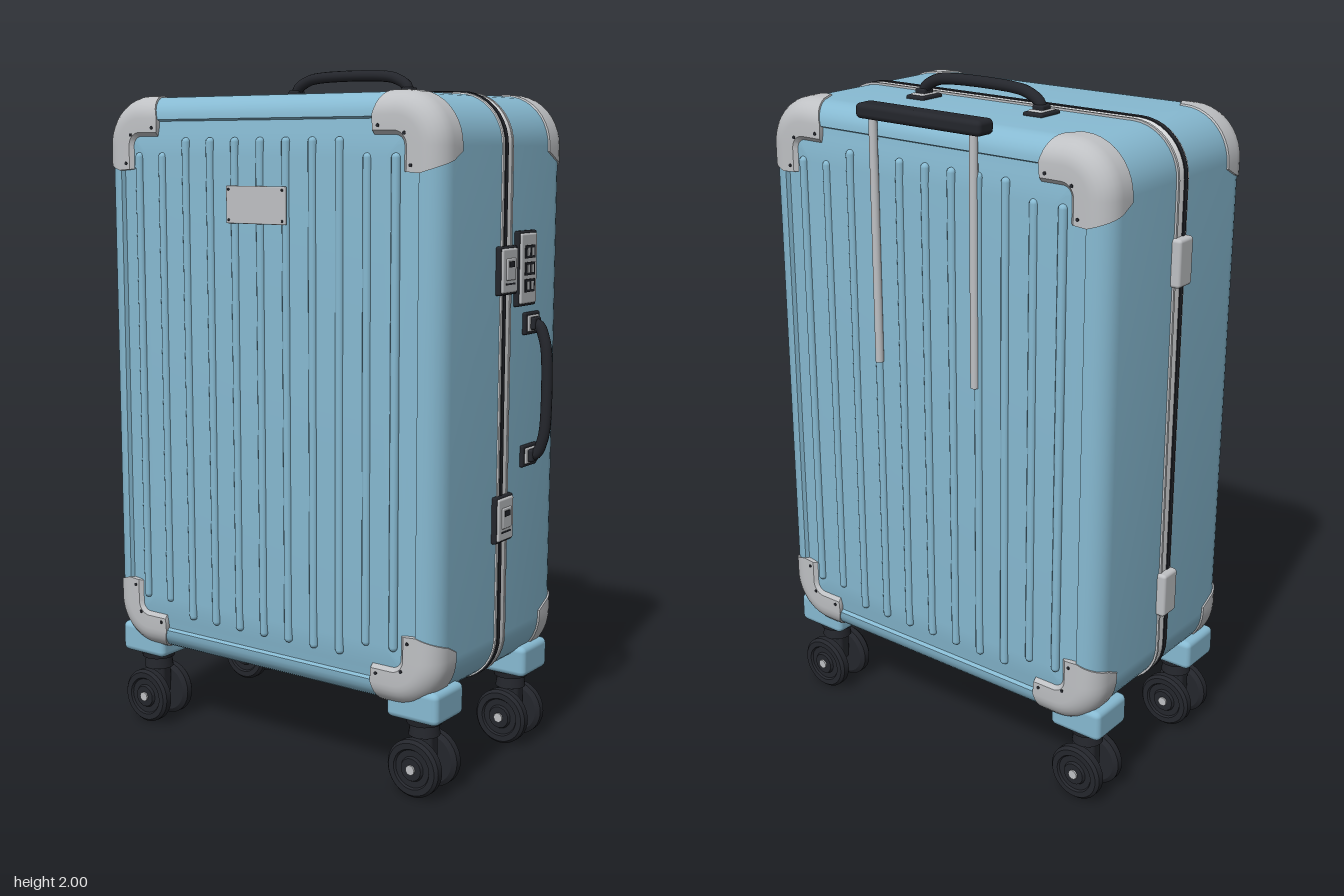
import * as THREE from 'three';
import { toCreasedNormals } from 'three/addons/utils/BufferGeometryUtils.js';
import { RoundedBoxGeometry } from 'three/addons/geometries/RoundedBoxGeometry.js';

const mat = (name, color) => new THREE.MeshStandardMaterial({ name, color });
const blue = mat('shell blue', 0x87bad2);
const silver = mat('silver', 0xbfc1c4);
const white = mat('pale frame', 0xe4e6e8);
const black = mat('black', 0x24262c);

// Case: centre, half width, half height, corner radius, edge rounding, seam and face depths
const CX = -0.0275, CY = 1.095, W = 0.584, H = 0.828, R = 0.14, B = 0.065, SEAM = 0.019;
const FACE = { 1: 0.347, [-1]: 0.334 };

function add(parent, name, geometry, material, x = 0, y = 0, z = 0) {
  const mesh = new THREE.Mesh(geometry, material);
  mesh.name = name;
  mesh.position.set(x, y, z);
  parent.add(mesh);
  return mesh;
}

const box = (w, h, d, r = 0.006) => new RoundedBoxGeometry(w, h, d, 2, r);

// Skin between equally long rows of [x, y, z] points
function loft(rows, closed, flip, crease = 0.6) {
  const n = rows[0].length, index = [];
  for (let i = 0; i < rows.length - 1; i++) {
    for (let j = 0; j < (closed ? n : n - 1); j++) {
      const k = (j + 1) % n, a = i * n + j, b = i * n + k, c = b + n, d = a + n;
      if (flip) index.push(a, c, b, a, d, c);
      else index.push(a, b, c, a, c, d);
    }
  }
  const g = new THREE.BufferGeometry();
  g.setAttribute('position', new THREE.Float32BufferAttribute(rows.flat(2), 3));
  g.setIndex(index);
  return toCreasedNormals(g, crease);
}

// Arc around the +x +y corner at a given inset from the outline
function cornerArc(inset, steps = 10) {
  const c = Math.max(R, inset + 0.001), r = c - inset, pts = [];
  for (let i = 0; i <= steps; i++) {
    const a = (i / steps) * Math.PI / 2;
    pts.push([W - c + r * Math.cos(a), H - c + r * Math.sin(a)]);
  }
  return pts;
}

// Full rounded outline, anticlockwise
function outline(inset) {
  const arc = cornerArc(inset), back = [...arc].reverse();
  return [
    ...arc, ...back.map(([x, y]) => [-x, y]),
    ...arc.map(([x, y]) => [-x, -y]), ...back.map(([x, y]) => [x, -y]),
  ];
}

// Rounded edge as [inset, depth behind the face]
const edge = [];
for (let i = 0; i <= 7; i++) {
  const a = (i / 7) * Math.PI / 2;
  edge.push([B * (1 - Math.cos(a)), B * (1 - Math.sin(a))]);
}

// Half shell with a rolled rim and a gently pillowed panel
function shell(side) {
  const face = FACE[side];
  const profile = [[0, face - side * SEAM], ...edge, [0.07, 0.012], [0.1, 0.008], [0.13, 0.003], [0.17, 0]];
  const rows = profile.map(([d, w]) => outline(d).map(([x, y]) => [x, y, side * (face - w)]));
  rows.push(rows[0].map(() => [0, 0, side * face]));
  return loft(rows, true, side < 0);
}

// Thin protective cap following one corner of the shell
function guard(sx, sy, sz) {
  const lift = 0.004, face = FACE[sz];
  const row = (d, w, arm, sink = 0) => {
    const point = (x, y, s) => [sx * x, sy * y, sz * (face - w + lift - s)];
    const e = d - lift + sink;
    const pts = [[W - e, H - arm], ...cornerArc(e), [W - arm, H - e]].map(([x, y]) => point(x, y, sink));
    const f = e + 0.012;
    return [point(W - f, H - arm, sink + 0.014), ...pts, point(W - arm, H - f, sink + 0.014)];
  };
  const rows = [row(0, 0.108, 0.155, 0.008), row(0, 0.108, 0.155)];
  edge.forEach(([d, w], i) => rows.push(row(d, w, 0.178 + 0.032 * i / 7)));
  rows.push(row(0.105, 0, 0.207), row(0.107, 0, 0.205, 0.016));
  return loft(rows, false, sx * sy * sz < 0);
}

// Band around the case between two depths
function band(z0, z1, lift) {
  const rows = [[0.01, z0], [-lift, z0], [-lift, z1], [0.01, z1]]
    .map(([d, z]) => outline(d).map(([x, y]) => [x, y, z]));
  return loft(rows, true, false);
}

// Carry handle lying along x and rising along y
function carryHandle(name, half, rise) {
  const g = new THREE.Group();
  g.name = name;
  const t = rise - 0.016;
  const pts = [[-half, 0.005], [-half + 0.006, 0.03], [-half + 0.045, t - 0.008], [-half + 0.09, t]];
  const all = [...pts, ...pts.map(([x, y]) => [-x, y]).reverse()];
  const curve = new THREE.CatmullRomCurve3(all.map(([x, y]) => new THREE.Vector3(x, y, 0)));
  add(g, 'grip', new THREE.TubeGeometry(curve, 48, 0.016, 12), black);
  for (const s of [-1, 1]) {
    add(g, 'mountBase', box(0.064, 0.014, 0.086), black, s * half, 0.003);
    add(g, 'mountPlate', box(0.046, 0.01, 0.064, 0.004), silver, s * half, 0.009);
    add(g, 'mountSocket', box(0.036, 0.026, 0.04), black, s * half, 0.014);
  }
  return g;
}

// Twin-wheel caster hanging under a corner
function caster(x, z) {
  const g = new THREE.Group();
  g.name = 'caster';
  g.position.set(x, 0, z);
  add(g, 'housing', box(0.168, 0.094, 0.148, 0.018), blue, 0, 0.273);
  add(g, 'collar', new THREE.CylinderGeometry(0.055, 0.05, 0.022, 24), black, 0, 0.217);
  add(g, 'swivel', new THREE.CylinderGeometry(0.04, 0.045, 0.036, 24), black, 0, 0.19);
  add(g, 'fork', box(0.07, 0.1, 0.044, 0.012), black, 0, 0.135);
  const axle = add(g, 'axle', new THREE.CylinderGeometry(0.014, 0.014, 0.15, 16), silver, 0, 0.088);
  axle.rotation.x = Math.PI / 2;
  const profile = [[0.012, -0.019], [0.07, -0.019], [0.083, -0.01], [0.083, 0.01], [0.075, 0.019],
    [0.058, 0.019], [0.054, 0.013], [0.036, 0.013], [0.032, 0.021], [0.012, 0.021]];
  const tyre = toCreasedNormals(new THREE.LatheGeometry(profile.map(p => new THREE.Vector2(...p)), 36), 0.5);
  for (const s of [-1, 1]) {
    const wheel = add(g, 'wheel', tyre, black, 0, 0.088, s * 0.049);
    wheel.rotation.x = s * Math.PI / 2;
  }
  return g;
}

// Latch facing +x across the seam
function latch(parent, y) {
  const x = 0.562, z = 0.011;
  add(parent, 'latchBase', box(0.018, 0.134, 0.096), black, x, y, z);
  add(parent, 'latchPlate', box(0.018, 0.122, 0.084), silver, x + 0.006, y, z);
  add(parent, 'latchButton', box(0.012, 0.06, 0.05, 0.004), silver, x + 0.013, y + 0.004, z);
  add(parent, 'latchKeyhole', new THREE.BoxGeometry(0.004, 0.016, 0.028), black, x + 0.019, y + 0.018, z + 0.002);
  add(parent, 'latchSlot', new THREE.BoxGeometry(0.003, 0.005, 0.05), black, x + 0.0145, y - 0.036, z);
}

export function createModel() {
  const model = new THREE.Group();
  model.name = 'suitcase';

  // Shells, seam and corner guards
  const body = new THREE.Group();
  body.name = 'case';
  body.position.set(CX, CY, 0);
  model.add(body);
  add(body, 'frameBand', band(-0.016, 0.034, 0.004), white);
  add(body, 'frameEdge', band(-0.02, -0.012, 0.006), silver);
  add(body, 'seam', band(0.011, 0.026, 0.007), black);
  for (const sz of [1, -1]) {
    add(body, sz > 0 ? 'frontShell' : 'backShell', shell(sz), blue);
    for (const sx of [1, -1]) for (const sy of [1, -1]) {
      add(body, 'cornerGuard', guard(sx, sy, sz), silver);
      for (const [dx, dy] of [[0.19, 0.088], [0.088, 0.19], [0.108, 0.108]]) {
        const rivet = add(body, 'rivet', new THREE.CylinderGeometry(0.005, 0.005, 0.006, 10), black,
          sx * (W - dx), sy * (H - dy), sz * (FACE[sz] + 0.003));
        rivet.rotation.x = Math.PI / 2;
      }
    }
    // Vertical ribs, shorter beside the guards
    for (let i = -5; i <= 5; i++) {
      const half = Math.abs(i) > 3 ? 0.67 : 0.712;
      add(body, 'rib', new THREE.CapsuleGeometry(0.013, 2 * half - 0.026, 4, 12), blue,
        i * 0.0895, 0, sz * (FACE[sz] - 0.003));
    }
  }
  add(model, 'namePlate', box(0.208, 0.104, 0.009, 0.003), silver, -0.03, 1.622, 0.361);
  for (const sx of [1, -1]) for (const sy of [1, -1]) {
    add(model, 'plateRivet', new THREE.SphereGeometry(0.004, 8, 6), black, -0.03 + sx * 0.094, 1.622 + sy * 0.042, 0.365);
  }

  // Carry handles on the top and the left side
  const top = carryHandle('topHandle', 0.203, 0.077);
  top.position.set(-0.03, 1.923, -0.094);
  const side = carryHandle('sideHandle', 0.19, 0.072);
  side.position.set(0.557, 1.1, -0.139);
  side.rotation.z = -Math.PI / 2;
  model.add(top, side);

  // Telescopic handle on the back
  add(model, 'pullGrip', box(0.426, 0.042, 0.066, 0.014), black, -0.028, 1.926, -0.338);
  for (const x of [-0.2, 0.144]) {
    add(model, 'pullRod', new THREE.CylinderGeometry(0.012, 0.012, 0.7, 16), silver, x, 1.565, -0.342);
  }

  // Latches, combination lock and hinges
  latch(model, 1.447);
  latch(model, 0.752);
  add(model, 'lockBase', box(0.018, 0.21, 0.104), black, 0.562, 1.447, -0.094);
  add(model, 'lockPlate', box(0.018, 0.196, 0.09), silver, 0.568, 1.447, -0.094);
  for (let i = -1; i <= 1; i++) {
    const y = 1.447 + i * 0.047;
    add(model, 'dialWindow', new THREE.BoxGeometry(0.004, 0.036, 0.054), black, 0.578, y, -0.094);
    for (const s of [-1, 1]) {
      add(model, 'dial', new THREE.BoxGeometry(0.004, 0.022, 0.012), silver, 0.5795, y, -0.094 + s * 0.012);
    }
  }
  for (const y of [1.565, 0.582]) {
    add(model, 'hinge', box(0.034, 0.134, 0.068, 0.01), silver, -0.621, y, 0.005);
  }

  // Casters
  for (const x of [-0.525, 0.465]) for (const z of [0.252, -0.234]) model.add(caster(x, z));
  return model;
}
